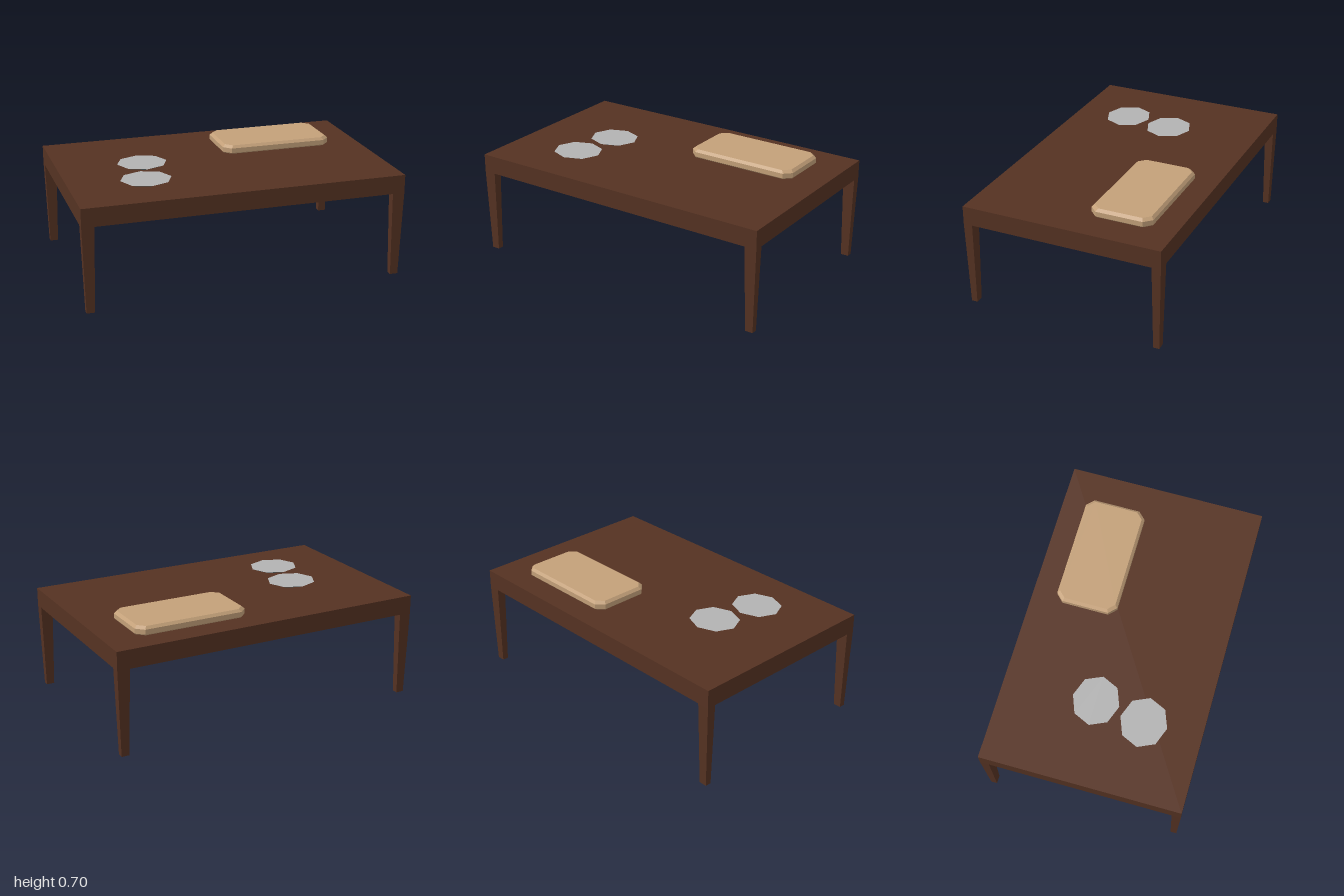
import * as THREE from 'three';

const mat = (name, color) => Object.assign(new THREE.MeshStandardMaterial({ color, flatShading: true }), { name });

// Stack of horizontal rings [y, [[x, z], ...]] from bottom to top, closed by caps.
// Group 0 is the sides and base, group 1 is the top face.
function loft(rings) {
  const pos = [];
  const n = rings[0][1].length;
  const pt = (r, i) => [rings[r][1][i % n][0], rings[r][0], rings[r][1][i % n][1]];
  for (let r = 0; r < rings.length - 1; r++) {
    for (let i = 0; i < n; i++) {
      const a = pt(r, i), b = pt(r, i + 1), c = pt(r + 1, i + 1), d = pt(r + 1, i);
      pos.push(...a, ...c, ...b, ...a, ...d, ...c);
    }
  }
  const last = rings.length - 1;
  for (let i = 1; i < n - 1; i++) pos.push(...pt(0, 0), ...pt(0, i), ...pt(0, i + 1));
  const split = pos.length / 3;
  for (let i = 1; i < n - 1; i++) pos.push(...pt(last, 0), ...pt(last, i + 1), ...pt(last, i));
  const g = new THREE.BufferGeometry();
  g.setAttribute('position', new THREE.Float32BufferAttribute(pos, 3));
  g.addGroup(0, split, 0);
  g.addGroup(split, pos.length / 3 - split, 1);
  g.computeVertexNormals();
  return g;
}

// Outlines, all running from +x towards +z
const rect = (x0, x1, z0, z1) => [[x1, z0], [x1, z1], [x0, z1], [x0, z0]];
const octagon = (rx, rz) => Array.from({ length: 8 }, (_, i) => {
  const a = i * Math.PI / 4;
  return [rx * Math.cos(a), rz * Math.sin(a)];
});
const cutRect = (w, d, c) => [
  [w, -d + c], [w, d - c], [w - c, d], [-w + c, d],
  [-w, d - c], [-w, -d + c], [-w + c, -d], [w - c, -d],
];

export function createModel() {
  const model = new THREE.Group();
  const darkWood = mat('dark wood', 0x553222);
  const paleWood = mat('pale wood', 0xc3a079);
  const plateGrey = mat('plate grey', 0xb2b2b2);
  const plateDark = mat('plate underside', 0x727e80);
  const add = (name, geometry, material, x = 0, y = 0, z = 0) => {
    const mesh = new THREE.Mesh(geometry, material);
    mesh.name = name;
    mesh.position.set(x, y, z);
    model.add(mesh);
  };

  // Thick table top
  add('tableTop', new THREE.BoxGeometry(2, 0.115, 1.25), darkWood, 0, 0.5925, 0);

  // Tapered corner legs
  for (const sx of [-1, 1]) {
    for (const sz of [-1, 1]) {
      const leg = loft([
        [0, rect(-0.025, 0.025, -0.019, 0.019)],
        [0.536, rect(-0.038, 0.038, -0.028, 0.028)],
      ]);
      add('leg', leg, [darkWood, darkWood], sx * 0.962, 0, sz * 0.597);
    }
  }

  // Serving board with cut corners and a bevelled rim
  const board = loft([
    [0, cutRect(0.355, 0.188, 0.044)],
    [0.006, cutRect(0.36, 0.193, 0.046)],
    [0.036, cutRect(0.36, 0.193, 0.046)],
    [0.052, cutRect(0.343, 0.178, 0.041)],
  ]);
  add('board', board, [paleWood, paleWood], 0.44, 0.65, -0.28);

  // Two shallow eight-sided plates
  for (const [x, z] of [[-0.477, -0.047], [-0.53, 0.265]]) {
    const plate = loft([[0, octagon(0.118, 0.106)], [0.016, octagon(0.158, 0.145)]]);
    add('plate', plate, [plateDark, plateGrey], x, 0.65, z);
  }
  return model;
}
